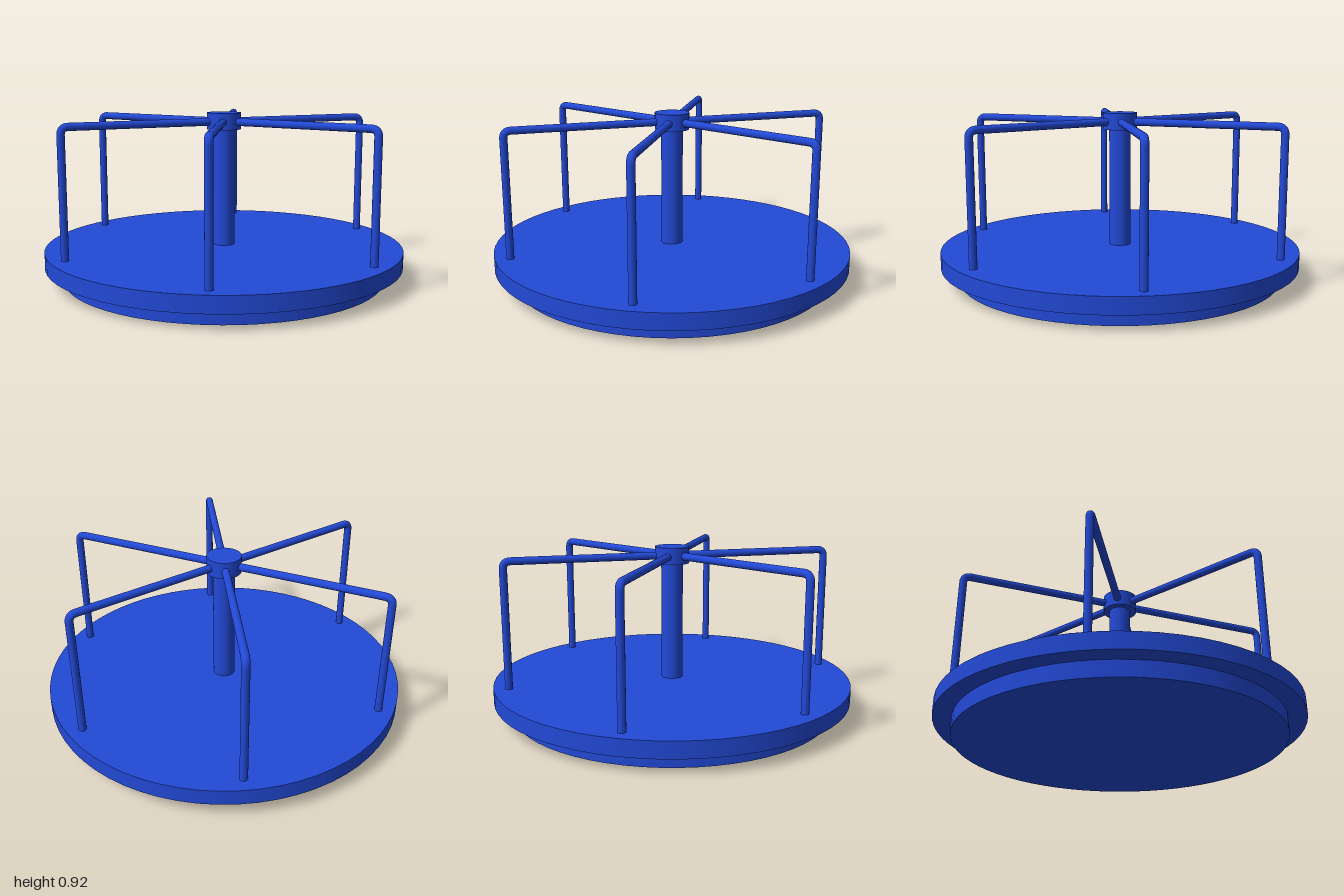
import * as THREE from 'three';

export function createModel() {
  const model = new THREE.Group();
  model.name = 'merryGoRound';
  const bluePaint = new THREE.MeshStandardMaterial({ color: 0x2249d6 });
  bluePaint.name = 'bluePaint';

  const add = (name, geometry, parent = model) => {
    const mesh = new THREE.Mesh(geometry, bluePaint);
    mesh.name = name;
    parent.add(mesh);
    return mesh;
  };
  // Upright cylinder between two heights
  const disc = (name, radius, y0, y1, segments) => {
    add(name, new THREE.CylinderGeometry(radius, radius, y1 - y0, segments)).position.y = (y0 + y1) / 2;
  };

  // Base, platform and central post
  disc('base', 0.9, 0, 0.085, 64);
  disc('platform', 1, 0.085, 0.173, 64);
  disc('centrePost', 0.06, 0.17, 0.83, 32);
  disc('hub', 0.095, 0.825, 0.917, 32);

  // Handrail: out from the hub, round a tight bend, down to the platform
  const reach = 0.917, top = 0.867, bend = 0.04, radius = 0.021;
  const v = (x, y) => new THREE.Vector3(x, y, 0);
  const horizontal = new THREE.LineCurve3(v(0.05, top), v(reach - bend, top));
  const corner = new THREE.QuadraticBezierCurve3(
    v(reach - bend, top), v(reach, top), v(reach, top - bend));
  const vertical = new THREE.LineCurve3(v(reach, top - bend), v(reach, 0.165));
  const barGeometry = new THREE.TubeGeometry(horizontal, 1, radius, 16);
  const bendGeometry = new THREE.TubeGeometry(corner, 8, radius, 16);
  const postGeometry = new THREE.TubeGeometry(vertical, 1, radius, 16);

  // Six handrails evenly spaced around the hub
  for (let i = 0; i < 6; i++) {
    const handrail = new THREE.Group();
    handrail.name = `handrail${i + 1}`;
    add('handrailBar', barGeometry, handrail);
    add('handrailBend', bendGeometry, handrail);
    add('handrailPost', postGeometry, handrail);
    handrail.rotation.y = Math.PI / 12 + i * Math.PI / 3;
    model.add(handrail);
  }
  return model;
}
